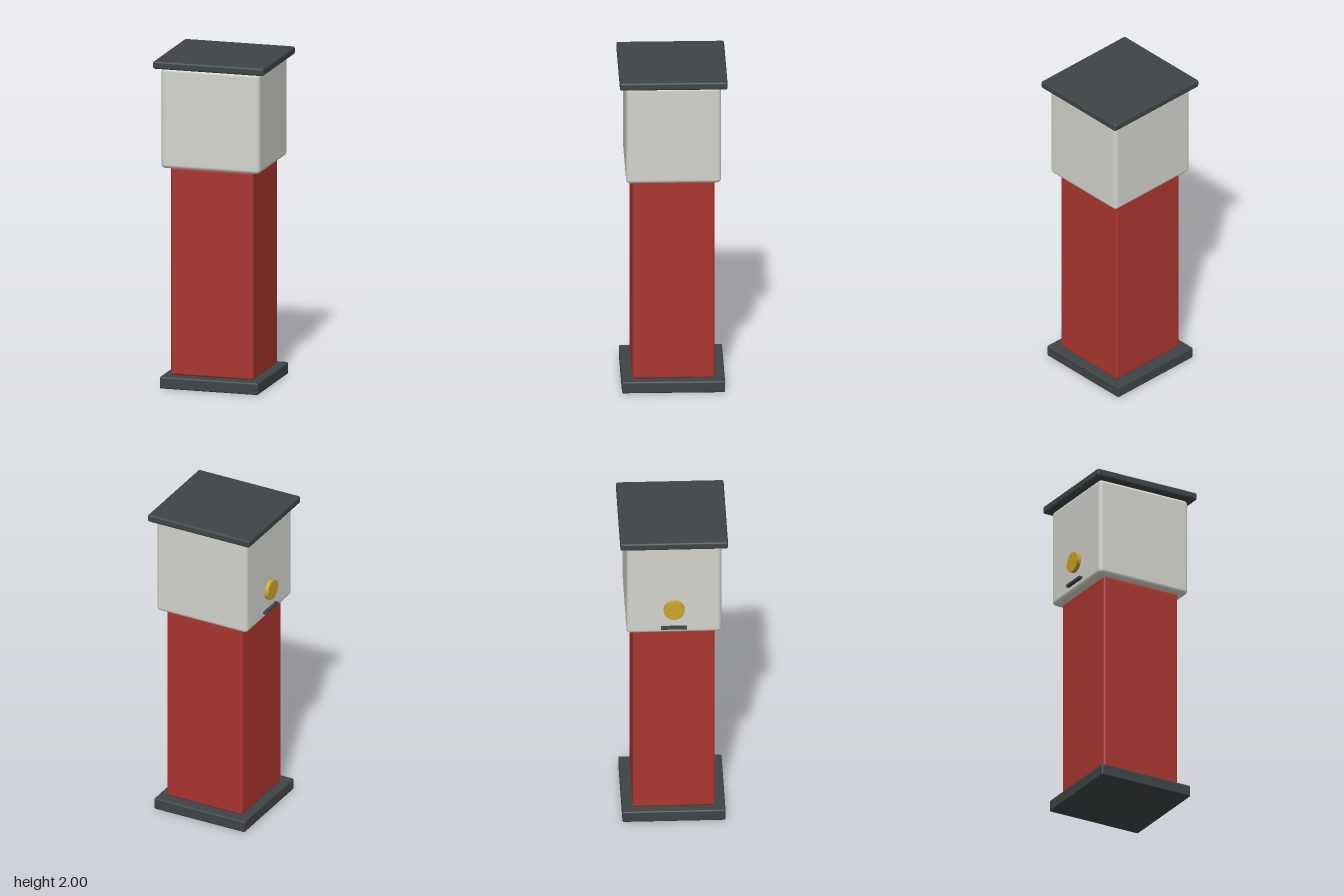
import * as THREE from 'three';
import { RoundedBoxGeometry } from 'three/addons/geometries/RoundedBoxGeometry.js';

const paint = (name, color) => {
  const m = new THREE.MeshStandardMaterial({ color });
  m.name = name;
  return m;
};

export function createModel() {
  const slate = paint('slate', 0x3e4546);
  const red = paint('red', 0xaa362f);
  const paleGrey = paint('pale grey', 0xd4d4ce);
  const gold = paint('gold', 0xc9a52c);

  const model = new THREE.Group();
  model.name = 'pillar';

  // Rounded block spanning bottom..top
  const block = (name, material, width, depth, bottom, top, radius) => {
    const geometry = new RoundedBoxGeometry(width, top - bottom, depth, 3, radius);
    const mesh = new THREE.Mesh(geometry, material);
    mesh.name = name;
    mesh.position.y = (bottom + top) / 2;
    model.add(mesh);
    return mesh;
  };

  // Stacked body
  block('base', slate, 0.615, 0.615, 0, 0.073, 0.01);
  block('column', red, 0.514, 0.49, 0.073, 1.345, 0.015);
  block('head', paleGrey, 0.615, 0.566, 1.34, 1.955, 0.025);
  block('cap', slate, 0.69, 0.642, 1.953, 2, 0.012);

  // Round knob on the right side of the head
  const knob = new THREE.Mesh(new THREE.CylinderGeometry(0.062, 0.062, 0.035, 32), gold);
  knob.name = 'knob';
  knob.rotation.z = Math.PI / 2;
  knob.position.set(-0.3155, 1.512, 0);
  model.add(knob);

  // Narrow slot plate below the knob
  const slot = new THREE.Mesh(new THREE.BoxGeometry(0.03, 0.014, 0.155), slate);
  slot.name = 'slot';
  slot.position.set(-0.314, 1.386, 0);
  model.add(slot);

  return model;
}
